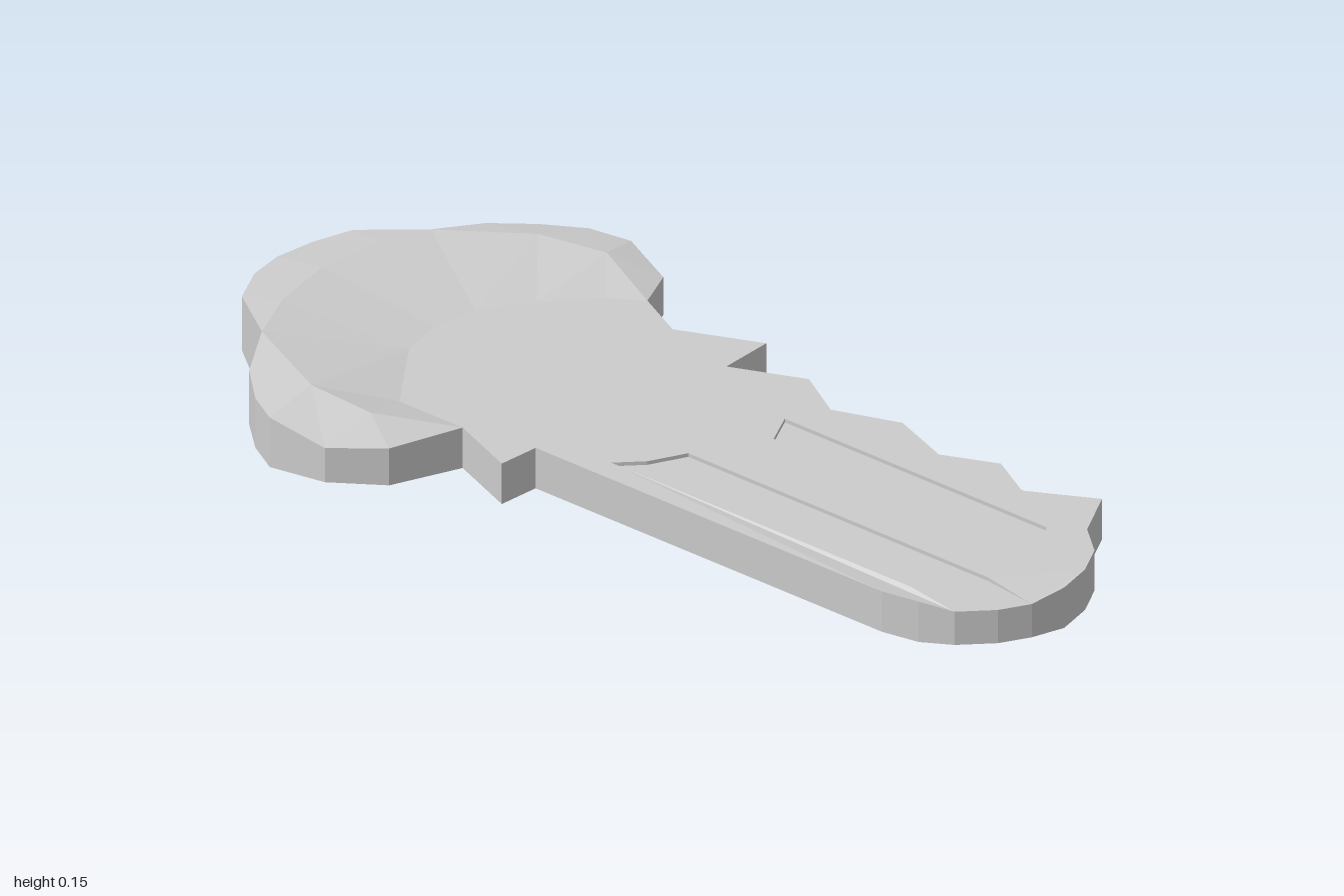
import * as THREE from 'three';

const MID = 0.074;    // height of the key's middle plane
const BLADE = 0.045;  // half thickness of the blade
const FLOOR = 0.037;  // half thickness inside the grooves
const RIDGE = 0.074;  // half thickness at the head's ridge

// points are [x, z, half thickness]
const at = (h, pts) => pts.map(([x, z, own]) => [x, z, own ?? h]);

// surfaces are collected as triangles above the middle plane, then mirrored below
function makeMesh(name, tris, sides = []) {
  const pos = [];
  const put = (p, s) => pos.push(p[0], MID + s * p[2], p[1]);
  for (let [a, b, c] of tris) {
    put(a, 1); put(b, 1); put(c, 1);
    put(a, -1); put(c, -1); put(b, -1);
  }
  // edge walls between the upper and lower outline
  for (const [a, b] of sides) {
    put(a, 1); put(b, 1); put(b, -1);
    put(a, 1); put(b, -1); put(a, -1);
  }
  const geo = new THREE.BufferGeometry();
  geo.setAttribute('position', new THREE.Float32BufferAttribute(pos, 3));
  geo.computeVertexNormals();
  const mesh = new THREE.Mesh(geo, new THREE.MeshStandardMaterial({ color: 0xcccccc, flatShading: true }));
  mesh.name = name;
  return mesh;
}

// order a triangle's corners so that it faces up
function up([a, b, c]) {
  const cross = (b[0] - a[0]) * (c[1] - a[1]) - (b[1] - a[1]) * (c[0] - a[0]);
  return cross > 0 ? [a, c, b] : [a, b, c];
}

function fill(outline, holes = []) {
  const v = (pts) => pts.map((p) => new THREE.Vector2(p[0], p[1]));
  const all = [outline, ...holes].flat();
  return THREE.ShapeUtils.triangulateShape(v(outline), holes.map(v)).map((f) => up(f.map((i) => all[i])));
}

// surface between two chains, always taking the shorter diagonal
function strip(a, b) {
  const tris = [];
  const dist = (p, q) => Math.hypot(p[0] - q[0], p[1] - q[1]);
  let i = 0, j = 0;
  while (i < a.length - 1 || j < b.length - 1) {
    const stepA = j === b.length - 1 ||
      (i < a.length - 1 && dist(a[i + 1], b[j]) <= dist(a[i], b[j + 1]));
    tris.push(up(stepA ? [a[i], a[i + 1], b[j]] : [a[i], b[j + 1], b[j]]));
    if (stepA) i++; else j++;
  }
  return tris;
}

const segments = (pts) => pts.slice(1).map((p, i) => [pts[i], p]);

// groove walls: from the blade's face down to the floor, facing into the groove
function grooveWalls(chain) {
  const tris = [];
  for (const [a, b] of segments(chain)) {
    const a0 = [a[0], a[1], FLOOR], b0 = [b[0], b[1], FLOOR];
    if (b[2] > FLOOR) tris.push([b, a0, b0]);
    if (a[2] > FLOOR) tris.push([b, a, a0]);
  }
  return tris;
}

export function createModel() {
  const key = new THREE.Group();
  key.name = 'key';

  // blade outline: smooth left edge, toothed right edge
  const leftEdge = at(BLADE, [[-0.2, 0.89, FLOOR], [-0.225, 0.82], [-0.24, 0.74], [-0.24, -0.14],
    [-0.33, -0.15], [-0.27, -0.3]]);
  const rightEdge = at(BLADE, [[0.345, -0.35], [0.29, -0.24], [0.365, -0.065], [0.245, -0.065],
    [0.31, 0.09], [0.245, 0.2], [0.295, 0.34], [0.245, 0.475], [0.295, 0.59], [0.24, 0.69],
    [0.315, 0.83], [0.205, 0.885], [0.15, 0.95], [0.08, 0.985], [0, 1], [-0.08, 0.985, FLOOR]]);
  const tip = [-0.14, 0.95, FLOOR];

  // inner arc where the flat face meets the hollow of the head
  const arc = at(BLADE, [[-0.27, -0.3], [-0.27, -0.46], [-0.2, -0.51], [-0.1, -0.58], [0, -0.6],
    [0.1, -0.58], [0.2, -0.51], [0.3, -0.42], [0.345, -0.35]]);

  // long groove runs out at the tip, short groove is closed
  const longGroove = at(BLADE, [[-0.2, 0.89, FLOOR], [-0.19, 0.77], [-0.19, 0.01], [-0.14, 0.06],
    [-0.065, 0.1], [-0.065, 0.86], [-0.08, 0.985, FLOOR]]);
  const shortGroove = at(BLADE, [[0.085, 0.865], [0.085, 0.19], [0.16, 0.155], [0.16, 0.82]]);
  const lower = (pts) => pts.map(([x, z]) => [x, z, FLOOR]);

  const face = [...leftEdge, ...arc.slice(1, -1), ...rightEdge, ...longGroove.slice(1, -1).reverse()];
  key.add(makeMesh('blade', fill(face, [shortGroove]),
    segments([...leftEdge]).concat(segments([...rightEdge, tip, leftEdge[0]]))));
  key.add(makeMesh('longGroove', [...fill([...lower(longGroove), tip]), ...grooveWalls(longGroove)]));
  key.add(makeMesh('shortGroove',
    [...fill(lower(shortGroove)), ...grooveWalls([...shortGroove, shortGroove[0]])]));

  // head: three lobes, each with its stretch of ridge and its outer rim
  const lobes = [
    { ridge: [[-0.27, -0.3, BLADE], [-0.37, -0.45, 0.067], [-0.37, -0.6], [-0.27, -0.81]],
      rim: [[-0.27, -0.3, BLADE], [-0.42, -0.36, 0.041], [-0.495, -0.46, 0.038], [-0.495, -0.6],
        [-0.455, -0.67], [-0.385, -0.745, 0.06], [-0.27, -0.81, RIDGE]] },
    { ridge: [[-0.27, -0.81], [-0.15, -0.86], [0, -0.885], [0.15, -0.86], [0.25, -0.82]],
      rim: [[-0.27, -0.81, RIDGE], [-0.17, -0.945, 0.06], [-0.08, -0.99], [0, -1], [0.09, -0.985],
        [0.17, -0.95, 0.06], [0.25, -0.82, RIDGE]] },
    { ridge: [[0.25, -0.82], [0.37, -0.65], [0.4, -0.5], [0.345, -0.35, BLADE]],
      rim: [[0.25, -0.82, RIDGE], [0.35, -0.765, 0.065], [0.42, -0.69, 0.06], [0.47, -0.605, 0.06],
        [0.485, -0.51, 0.06], [0.44, -0.39, 0.042], [0.345, -0.35, BLADE]] },
  ];
  const ridge = lobes.flatMap((l, i) => at(RIDGE, l.ridge).slice(i ? 1 : 0));
  key.add(makeMesh('headHollow', strip(arc, ridge)));
  ['leftLobe', 'backLobe', 'rightLobe'].forEach((name, i) => {
    const rim = at(0.055, lobes[i].rim);
    key.add(makeMesh(name, strip(at(RIDGE, lobes[i].ridge), rim), segments(rim)));
  });
  return key;
}
